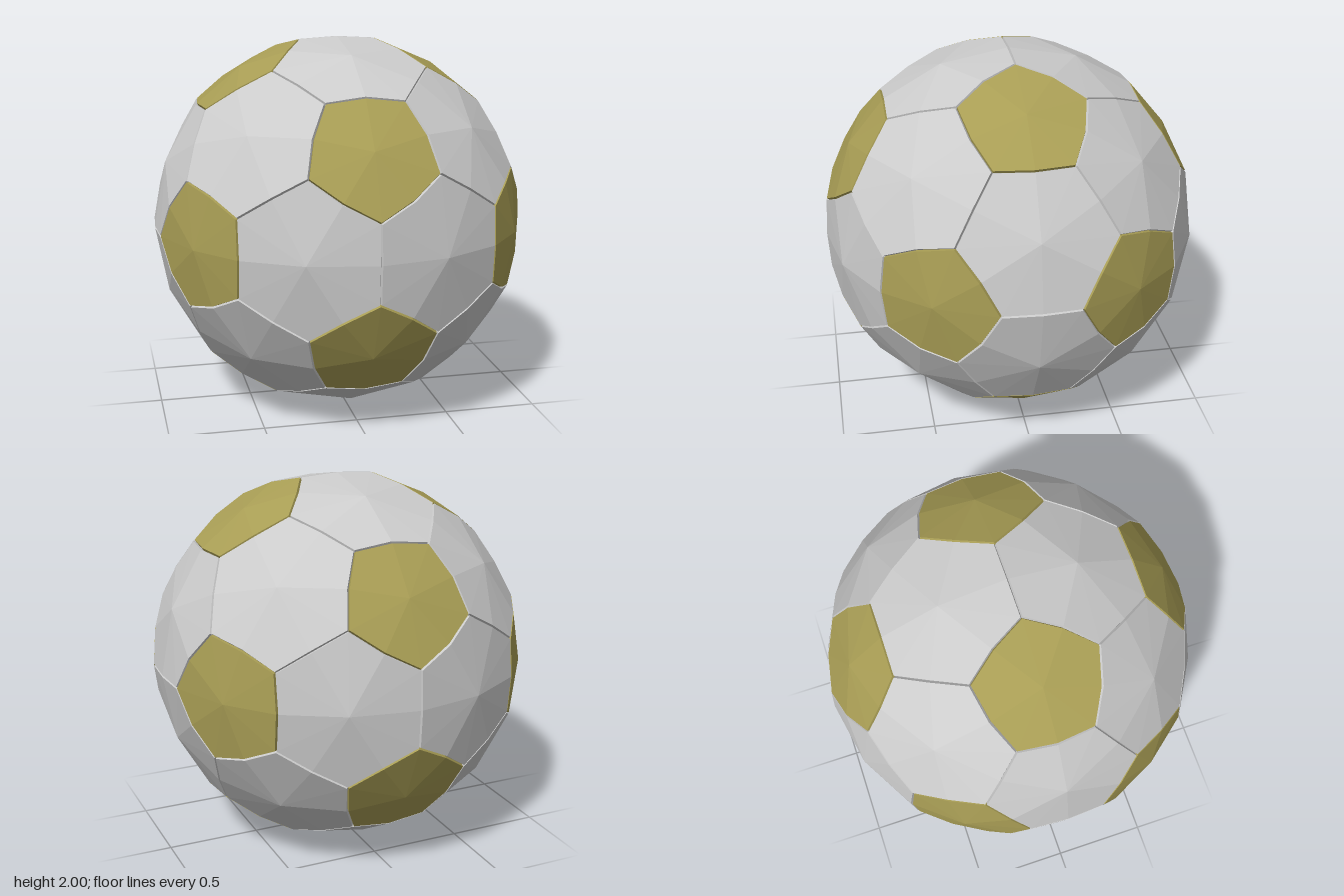
import * as THREE from 'three';

const SEAM = 0.006;   // half width of a seam
const DEPTH = 0.016;  // depth of a seam

// Corners of an icosahedron: one pentagon panel sits on each
const phi = (1 + Math.sqrt(5)) / 2;
const tips = [];
for (const s of [-1, 1]) for (const t of [-phi, phi]) {
  tips.push(new THREE.Vector3(0, s, t), new THREE.Vector3(s, t, 0), new THREE.Vector3(t, 0, s));
}
tips.forEach(v => v.normalize());
const adjacent = (a, b) => a !== b && a.dot(b) > 0.4;
const third = (a, b) => a.clone().lerp(b, 1 / 3).normalize();
const nearestTip = p => tips.reduce((best, t) => (t.dot(p) > best.dot(p) ? t : best));

// Sort points counter-clockwise around an outward axis
function sortAround(points, axis) {
  const u = points[0].clone().projectOnPlane(axis).normalize();
  const v = axis.clone().cross(u);
  const angle = p => Math.atan2(p.dot(v), p.dot(u));
  return points.sort((a, b) => angle(a) - angle(b));
}

// Middle of a panel edge; edges of pentagons bow outwards a little
function edgeMiddle(a, b) {
  const m = a.clone().add(b).normalize();
  const tip = nearestTip(a);
  if (tip !== nearestTip(b)) return m;
  return m.addScaledVector(m.clone().projectOnPlane(tip), 0.06).setLength(1.005);
}

// Faceted panel: a fan from the raised centre plus a bevel into the seam
function panelGeometry(corners, axis) {
  const outline = [];
  corners.forEach((c, i) => {
    outline.push(c.clone().setLength(1.008), edgeMiddle(c, corners[(i + 1) % corners.length]));
  });
  const rim = outline.map(p => {
    const inward = axis.clone().sub(p).projectOnPlane(p.clone().normalize()).normalize();
    return p.clone().addScaledVector(inward, SEAM);
  });
  const base = outline.map(p => p.clone().setLength(p.length() - DEPTH));
  const verts = [];
  const tri = (...pts) => pts.forEach(p => verts.push(p.x, p.y, p.z));
  for (let i = 0; i < rim.length; i++) {
    const j = (i + 1) % rim.length;
    tri(axis, rim[i], rim[j]);
    tri(rim[i], base[i], base[j]);
    tri(rim[i], base[j], rim[j]);
  }
  const geometry = new THREE.BufferGeometry();
  geometry.setAttribute('position', new THREE.Float32BufferAttribute(verts, 3));
  geometry.computeVertexNormals();
  return geometry;
}

export function createModel() {
  const grey = new THREE.MeshStandardMaterial({ color: 0xcccccc, flatShading: true });
  const olive = new THREE.MeshStandardMaterial({ color: 0xa99e55, flatShading: true });
  const ball = new THREE.Group();
  ball.name = 'ball';

  function addPanel(name, corners, axis, material) {
    const mesh = new THREE.Mesh(panelGeometry(sortAround(corners, axis), axis), material);
    mesh.name = name;
    ball.add(mesh);
  }

  // Twelve pentagon panels
  for (const a of tips) {
    const corners = tips.filter(b => adjacent(a, b)).map(b => third(a, b));
    addPanel('pentagonPanel', corners, a, olive);
  }

  // Twenty hexagon panels, one for each three neighbouring tips
  tips.forEach((a, i) => tips.forEach((b, j) => tips.forEach((c, k) => {
    if (!(i < j && j < k && adjacent(a, b) && adjacent(b, c) && adjacent(a, c))) return;
    const axis = a.clone().add(b).add(c).normalize();
    const corners = [third(a, b), third(b, a), third(b, c), third(c, b), third(c, a), third(a, c)];
    addPanel('hexagonPanel', corners, axis, grey);
  })));

  ball.position.y = 1;
  const model = new THREE.Group();
  model.name = 'panelBall';
  model.add(ball);
  return model;
}
